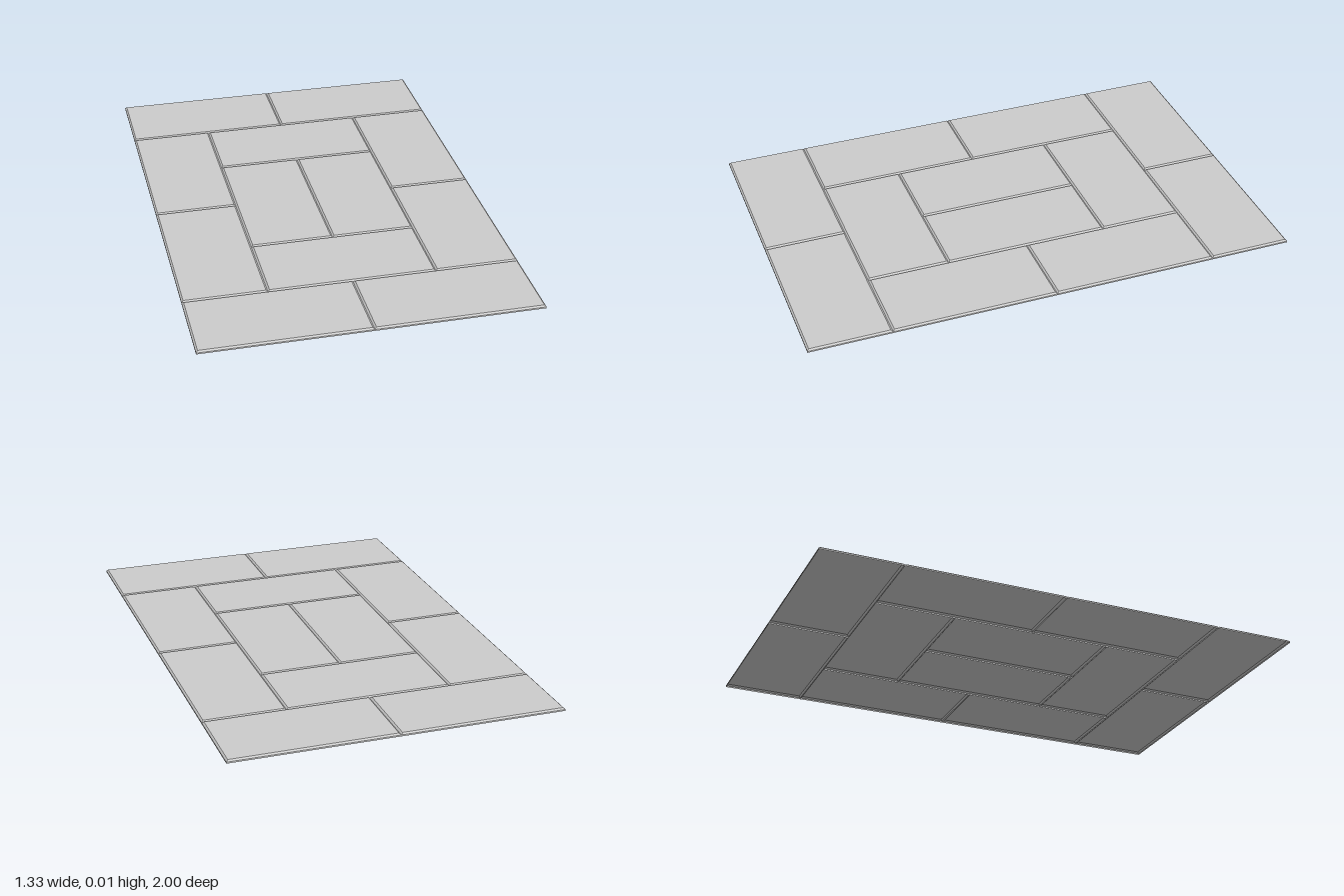
import * as THREE from 'three';

const UNIT = 1 / 3;      // short side of a tile; the long side is two units
const HEIGHT = 0.012;
const LIP = 0.006;       // height where the chamfer starts
const BEVEL = 0.007;

// Chamfered tile, open underneath: wall, chamfer and top face from three rectangular loops
function tileGeometry(w, d) {
  const loop = (inset, y) => [[-1, 1], [1, 1], [1, -1], [-1, -1]]
    .map(([sx, sz]) => [sx * (w / 2 - inset), y, sz * (d / 2 - inset)]);
  const loops = [loop(0, 0), loop(0, LIP), loop(BEVEL, HEIGHT)];
  const positions = [];
  const quad = (a, b, c, e) => positions.push(...a, ...b, ...c, ...a, ...c, ...e);
  for (let k = 0; k < 2; k++) {
    for (let i = 0; i < 4; i++) {
      const j = (i + 1) % 4;
      quad(loops[k][i], loops[k][j], loops[k + 1][j], loops[k + 1][i]);
    }
  }
  quad(...loops[2]);
  const geometry = new THREE.BufferGeometry();
  geometry.setAttribute('position', new THREE.Float32BufferAttribute(positions, 3));
  geometry.computeVertexNormals();
  return geometry;
}

export function createModel() {
  const group = new THREE.Group();
  group.name = 'pavingPanel';
  const material = new THREE.MeshStandardMaterial({
    color: 0xcccccc, flatShading: true, side: THREE.DoubleSide,
  });
  const wide = tileGeometry(2 * UNIT, UNIT);
  const long = tileGeometry(UNIT, 2 * UNIT);

  // Tile centres are given in units
  const addTile = (name, geometry, x, z) => {
    const tile = new THREE.Mesh(geometry, material);
    tile.name = name;
    tile.position.set(x * UNIT, 0, z * UNIT);
    group.add(tile);
  };

  for (const a of [-1, 1]) {
    for (const b of [-1, 1]) {
      addTile('endTile', wide, a, b * 2.5);
      addTile('sideTile', long, a * 1.5, b);
    }
    addTile('innerEndTile', wide, 0, a * 1.5);
    addTile('centreTile', long, a * 0.5, 0);
  }
  return group;
}
